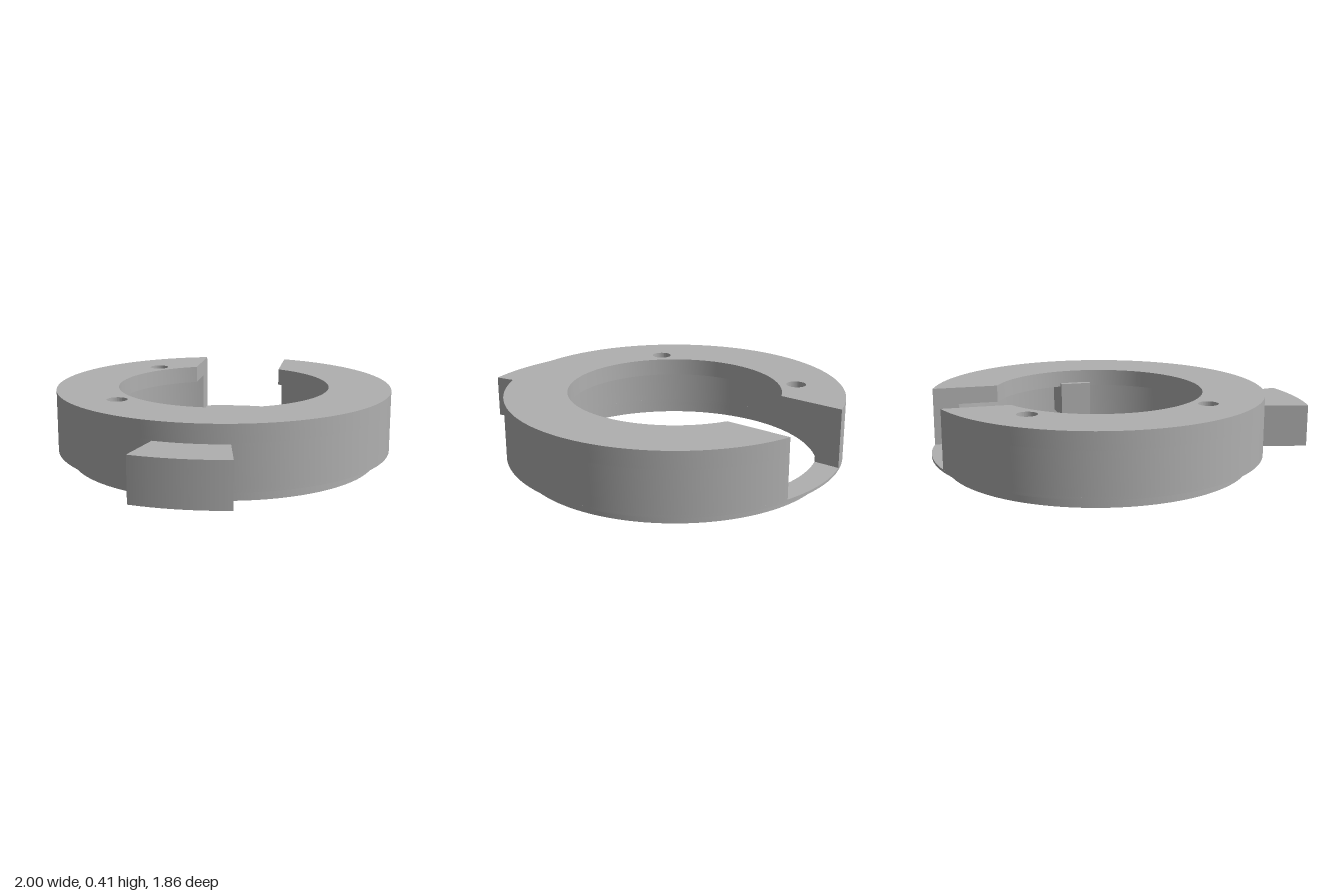
import * as THREE from 'three';
import { toCreasedNormals } from 'three/addons/utils/BufferGeometryUtils.js';

const CX = 0.07;             // ring axis in x
const R_OUT = 0.93, R_CAVITY = 0.793, R_BORE = 0.587, R_LIP = 0.852;
const SLOT_ANGLE = Math.atan2(0.633, 0.774), SLOT_HALF = 0.254;
const rad = THREE.MathUtils.degToRad;

export function createModel() {
  const group = new THREE.Group();
  const grey = new THREE.MeshStandardMaterial({ color: 0xb0b0b0 });

  // Extrude a plan shape (plan y = -z) between two heights
  function slab(name, shape, y0, y1) {
    let geo = new THREE.ExtrudeGeometry(shape, { depth: y1 - y0, bevelEnabled: false, curveSegments: 96 });
    geo.rotateX(-Math.PI / 2);
    geo = toCreasedNormals(geo, 0.5);
    const mesh = new THREE.Mesh(geo, grey);
    mesh.name = name;
    mesh.position.set(CX, y0, 0);
    group.add(mesh);
  }

  function addHole(shape, x, y, r) {
    const hole = new THREE.Path();
    hole.absarc(x, y, r, 0, Math.PI * 2, true);
    shape.holes.push(hole);
    return shape;
  }

  function annulus(rOut, rIn) {
    const s = new THREE.Shape();
    s.absarc(0, 0, rOut, 0, Math.PI * 2, false);
    return addHole(s, 0, 0, rIn);
  }

  // Ring interrupted by the parallel-sided slot
  function slottedRing(rOut, rIn) {
    const a = Math.asin(SLOT_HALF / rOut), b = Math.asin(SLOT_HALF / rIn);
    const s = new THREE.Shape();
    s.absarc(0, 0, rOut, SLOT_ANGLE + a, SLOT_ANGLE + Math.PI * 2 - a, false);
    s.absarc(0, 0, rIn, SLOT_ANGLE + Math.PI * 2 - b, SLOT_ANGLE + b, true);
    s.closePath();
    return s;
  }

  function sector(rIn, rOut, a, b) {
    const s = new THREE.Shape();
    s.absarc(0, 0, rOut, a, b, false);
    s.absarc(0, 0, rIn, b, a, true);
    s.closePath();
    return s;
  }

  // Hollow ring body
  slab('bottomLip', annulus(R_LIP, R_CAVITY), 0, 0.066);
  slab('slotFloorRing', annulus(R_OUT, R_CAVITY), 0.066, 0.08);
  slab('outerWall', slottedRing(R_OUT, R_CAVITY), 0.08, 0.31);

  // Top plate with two through holes
  const plate = slottedRing(R_OUT, R_BORE);
  addHole(plate, 0.14 - CX, 0.68, 0.055);
  addHole(plate, -0.61 - CX, 0.075, 0.055);
  slab('topPlate', plate, 0.31, 0.405);

  // Side tab with a blind hole in its underside
  const a0 = rad(206.7), a1 = rad(230.6), mid = (a0 + a1) / 2;
  const tabLower = sector(0.9, 1.198, a0, a1);
  addHole(tabLower, Math.cos(mid) * 1.065, Math.sin(mid) * 1.065, 0.093);
  slab('tabLower', tabLower, 0.067, 0.23);
  slab('tabUpper', sector(0.9, 1.198, a0, a1), 0.23, 0.305);

  // Inner key block, square to the slot
  const key = new THREE.Mesh(new THREE.BoxGeometry(0.27, 0.21, 0.18), grey);
  key.name = 'innerKey';
  const keyAngle = SLOT_ANGLE - Math.PI / 2, keyR = 0.551 + 0.135;
  key.position.set(CX + Math.cos(keyAngle) * keyR, 0.225, -Math.sin(keyAngle) * keyR);
  key.rotation.y = keyAngle;
  group.add(key);

  return group;
}
